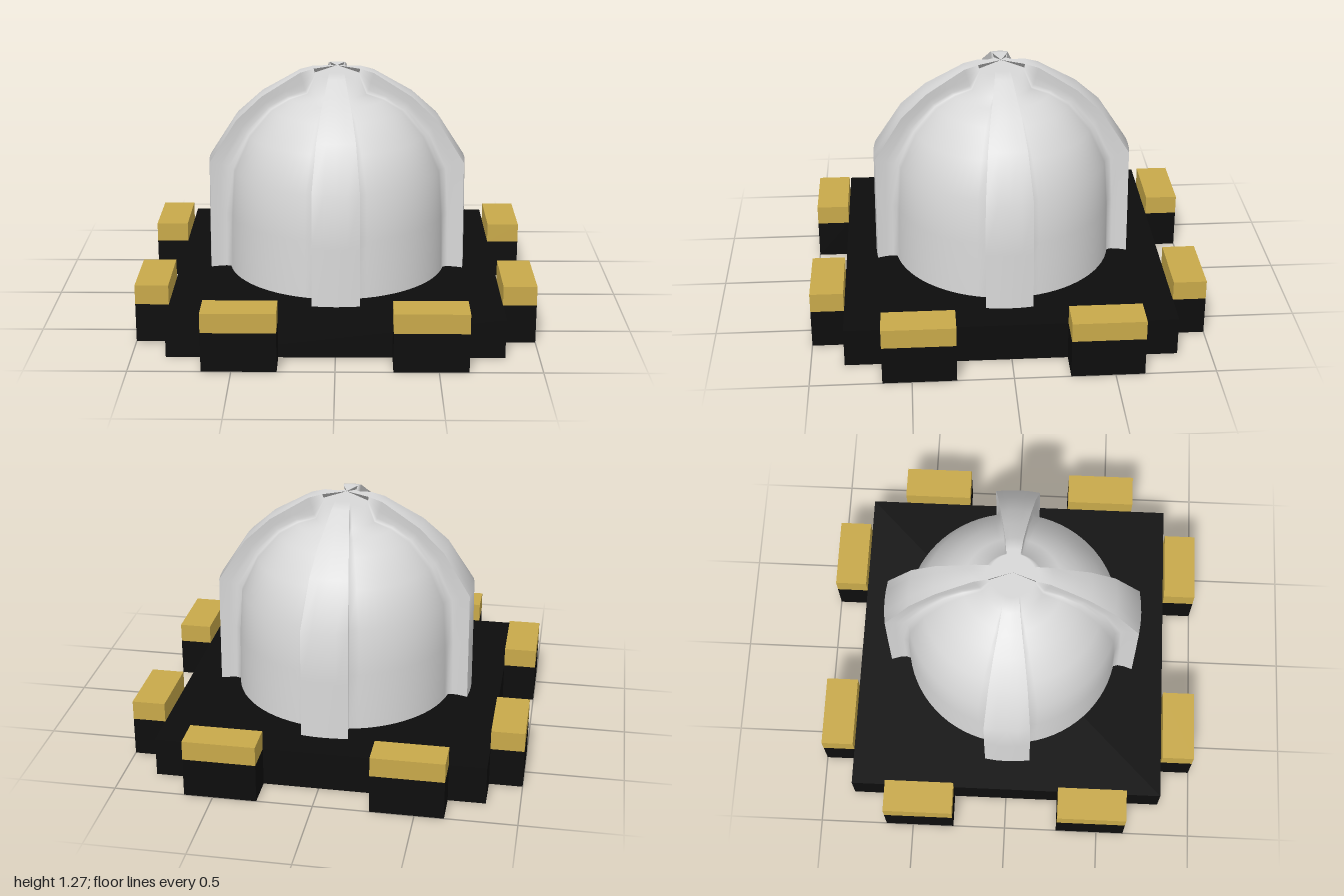
import * as THREE from 'three';

// Dome levels: rib radius, rib height, rib half-width, shell radius, shell height
const LEVELS = [
  [0.675, 0.20, 0.12, 0.572, 0.20],
  [0.673, 0.50, 0.12, 0.566, 0.50],
  [0.67, 0.78, 0.118, 0.55, 0.74],
  [0.53, 1.00, 0.098, 0.465, 0.92],
  [0.40, 1.12, 0.077, 0.35, 1.05],
  [0.30, 1.18, 0.060, 0.25, 1.105],
  [0.20, 1.24, 0.045, 0.16, 1.13],
  [0.13, 1.26, 0.038, 0.115, 1.235],
];
const APEX = 1.27;

// Outer face of a rib, running across from -w to +w
function ribSection([R, y, w]) {
  return [-1, -0.5, 0, 0.5, 1].map((k) => [k * w, y, R - 0.01 * k * k]);
}

// Rib side, shell quarter and the next rib's side, mirrored about 45 degrees
function shellSection([R, y, w, D, yD]) {
  const wall = (k, t) => [w * k, y + (yD - y) * t, (R - 0.01) * (1 - t) + D * t];
  const half = [wall(1, 0), wall(0.88, 0.5), wall(0.84, 0.85)];
  const start = Math.asin((0.9 * w) / D);
  for (let i = 0; i <= 7; i++) {
    const a = start + (Math.PI / 4 - start) * (i / 7);
    half.push([D * Math.sin(a), yD, D * Math.cos(a)]);
  }
  const mirrored = half.slice(0, -1).reverse().map(([px, py, pz]) => [pz, py, px]);
  return half.concat(mirrored);
}

// Join the sections upward and close them to the apex
function loft(section) {
  const rows = LEVELS.map(section);
  const n = rows[0].length;
  const points = rows.flat();
  const apex = points.length;
  points.push([0, APEX, 0]);
  const index = [];
  for (let i = 0; i < rows.length; i++) {
    for (let j = 0; j < n - 1; j++) {
      const a = i * n + j;
      if (i === rows.length - 1) index.push(a, a + 1, apex);
      else index.push(a, a + 1, a + n + 1, a, a + n + 1, a + n);
    }
  }
  const geo = new THREE.BufferGeometry();
  geo.setAttribute('position', new THREE.Float32BufferAttribute(points.flat(), 3));
  geo.setIndex(index);
  geo.computeVertexNormals();
  // Blend the crown where all ribs meet
  for (let k = (rows.length - 1) * n; k <= apex; k++) geo.attributes.normal.setXYZ(k, 0, 1, 0);
  return geo;
}

export function createModel() {
  const model = new THREE.Group();
  const silver = new THREE.MeshStandardMaterial({ color: 0xd8d8d8 });
  silver.name = 'silver';
  const black = new THREE.MeshStandardMaterial({ color: 0x0d0d0d });
  black.name = 'black';
  const gold = new THREE.MeshStandardMaterial({ color: 0xc8a94a });
  gold.name = 'gold';

  const add = (parent, name, geo, mat, x = 0, y = 0, z = 0) => {
    const mesh = new THREE.Mesh(geo, mat);
    mesh.name = name;
    mesh.position.set(x, y, z);
    parent.add(mesh);
    return mesh;
  };

  // Square base plate
  add(model, 'basePlate', new THREE.BoxGeometry(1.664, 0.2, 1.664), black, 0, 0.1, 0);

  const tabGeo = new THREE.BoxGeometry(0.365, 0.2, 0.168);
  const padGeo = new THREE.BoxGeometry(0.365, 0.1, 0.168);
  const ribGeo = loft(ribSection);
  const shellGeo = loft(shellSection);

  // Four equal sides: a rib, a shell quarter and two tabs with gold pads
  for (let q = 0; q < 4; q++) {
    const side = new THREE.Group();
    side.name = 'side' + (q + 1);
    side.rotation.y = (q * Math.PI) / 2;
    add(side, 'domeRib', ribGeo, silver);
    add(side, 'domeShell', shellGeo, silver);
    for (const s of [-1, 1]) {
      add(side, 'baseTab', tabGeo, black, s * 0.4625, 0.1, 0.916);
      add(side, 'contactPad', padGeo, gold, s * 0.4625, 0.25, 0.916);
    }
    model.add(side);
  }
  return model;
}
